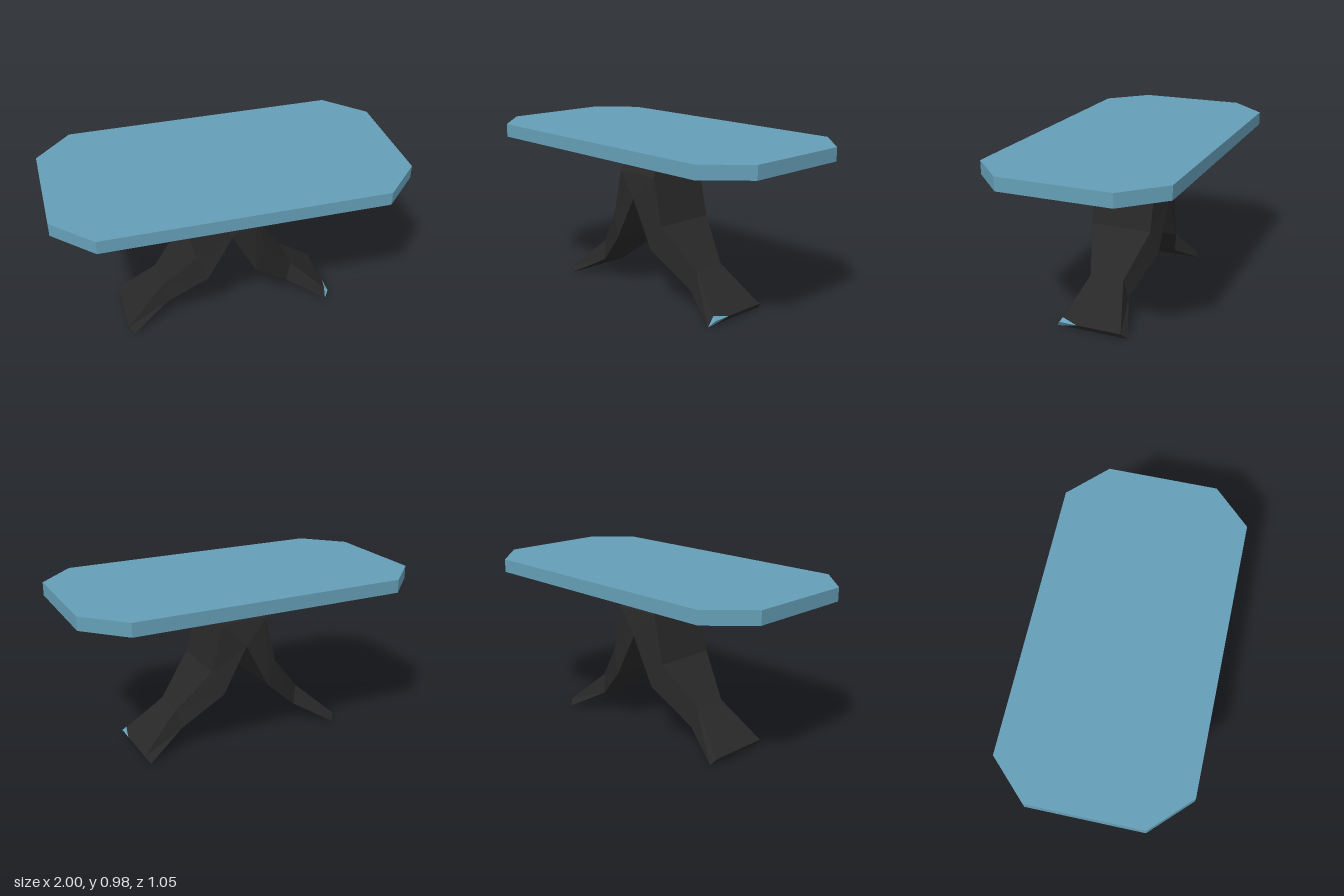
import * as THREE from 'three';

// Flat-faced geometry from convex polygons, corners counter-clockwise from outside
function facets(polys) {
  const pos = [];
  for (const p of polys)
    for (let i = 1; i < p.length - 1; i++) pos.push(...p[0], ...p[i], ...p[i + 1]);
  const g = new THREE.BufferGeometry();
  g.setAttribute('position', new THREE.Float32BufferAttribute(pos, 3));
  g.computeVertexNormals();
  return g;
}

export function createModel() {
  const group = new THREE.Group();
  const blue = new THREE.MeshStandardMaterial({ color: 0x659fb7 });
  blue.name = 'slate blue';
  const black = new THREE.MeshStandardMaterial({ color: 0x282828 });
  black.name = 'black';

  const add = (name, geometry, material, parent = group) => {
    const mesh = new THREE.Mesh(geometry, material);
    mesh.name = name;
    parent.add(mesh);
    return mesh;
  };

  // Table top: rectangle with clipped corners
  const outline = [[1, 0.316], [0.79, 0.527], [-0.79, 0.527], [-1, 0.316],
    [-1, -0.316], [-0.79, -0.527], [0.79, -0.527], [1, -0.316]];
  const shape = new THREE.Shape(outline.map(([x, z]) => new THREE.Vector2(x, z)));
  const top = new THREE.ExtrudeGeometry(shape, { depth: 0.076, bevelEnabled: false });
  top.rotateX(-Math.PI / 2);
  top.translate(0, 0.9, 0);
  add('tableTop', top, blue);

  // Leg stations: [x, y, half width] of the outer and the inner edge
  const outer = [[0.14, 0.745, 0.183], [0.203, 0.473, 0.183], [0.4, 0.24, 0.1], [0.628, 0.035, 0.183]];
  const inner = [[0, 0.603, 0.213], [0.145, 0.333, 0.213], [0.375, 0.128, 0.122], [0.602, 0, 0.213]];
  const rings = outer.map(([x, y, w], k) => {
    const [u, v, t] = inner[k];
    return [[x, y, w], [x, y, -w], [u, v, -t], [u, v, t]];
  });
  const legFaces = [];
  for (let k = 0; k < 3; k++)
    for (let j = 0; j < 4; j++) {
      const n = (j + 1) % 4;
      legFaces.push([rings[k + 1][j], rings[k + 1][n], rings[k][n], rings[k][j]]);
    }
  legFaces.push([...rings[3]].reverse());

  // Half of the trunk: one broad face and one outer face
  const trunkFaces = [
    [[-0.14, 0.745, 0.183], [0.14, 0.745, 0.183], [0.108, 0.9, 0.105], [-0.108, 0.9, 0.105]],
    [[-0.14, 0.745, 0.183], [0, 0.603, 0.213], [0.14, 0.745, 0.183]],
    [[0.14, 0.745, 0.183], [0.14, 0.745, -0.183], [0.108, 0.9, -0.105], [0.108, 0.9, 0.105]],
  ];

  // Both halves of the pedestal
  const leg = facets(legFaces), trunk = facets(trunkFaces);
  for (const [side, turn] of [['left', 0], ['right', Math.PI]]) {
    const half = new THREE.Group();
    half.name = side + 'PedestalHalf';
    half.rotation.y = turn;
    add(side + 'Trunk', trunk, black, half);
    add(side + 'Leg', leg, black, half);
    group.add(half);
  }

  // Blue chip on the front corner of the left foot
  const tip = [0.628, 0.035, 0.183], low = [0.602, 0, 0.213], back = [0.605, 0.056, 0.175];
  const mid = [0.628, 0.035, 0.08];
  const chip = add('footChip', facets([
    [tip, low, [0.602, 0, 0.175], mid],
    [tip, mid, back],
    [low, tip, back],
  ]), blue);
  chip.position.set(0.002, 0.001, 0.002);

  return group;
}
